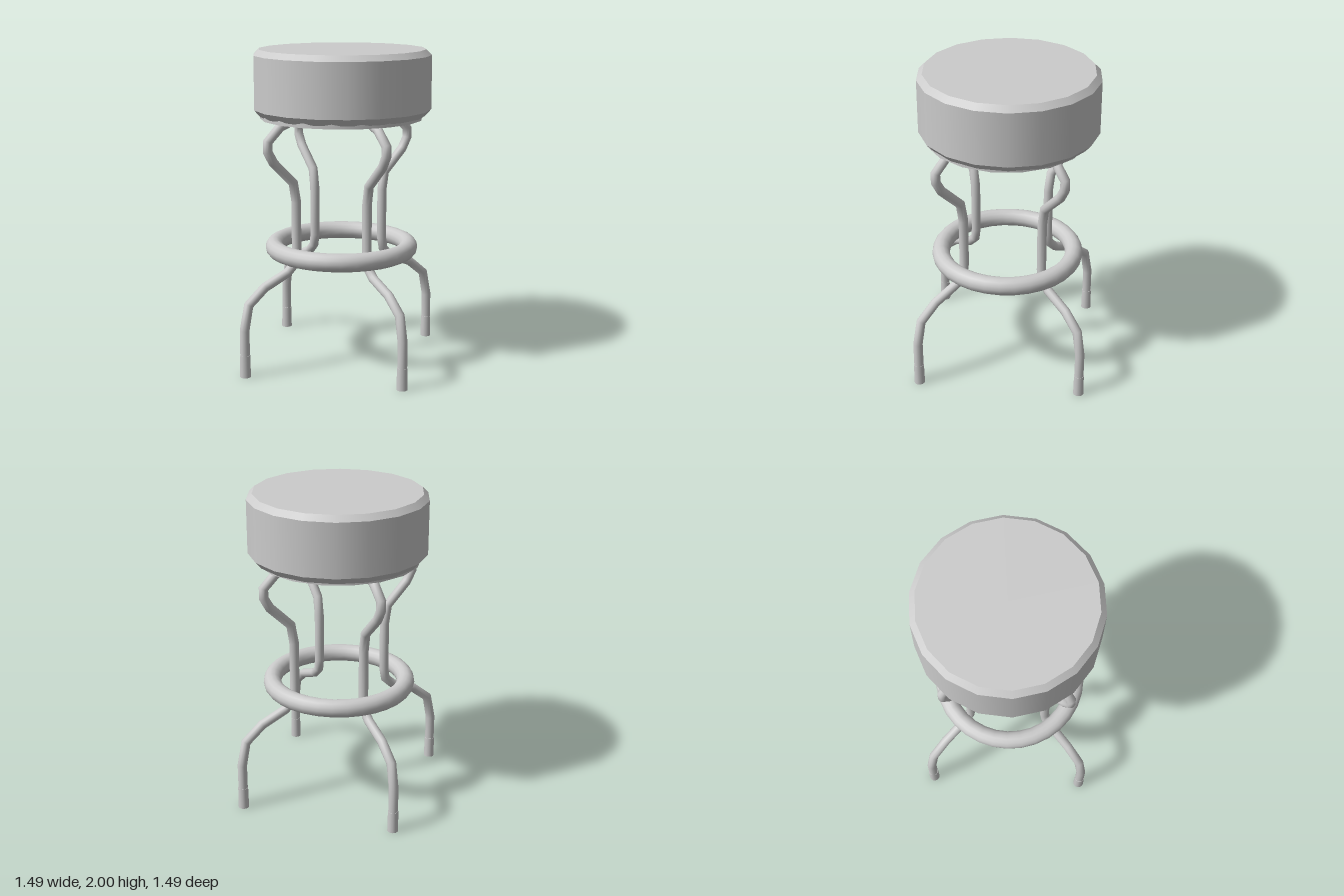
import * as THREE from 'three';

const material = new THREE.MeshStandardMaterial({ color: 0xcccccc });

function add(parent, name, geometry, x = 0, y = 0, z = 0) {
  const mesh = new THREE.Mesh(geometry, material);
  mesh.name = name;
  mesh.position.set(x, y, z);
  parent.add(mesh);
  return mesh;
}

// Straight runs between points, with tangents mitred at each bend
class Polyline extends THREE.Curve {
  constructor(points) {
    super();
    this.points = points;
  }
  getPoint(t) {
    const p = this.points;
    const i = Math.min(Math.floor(t * (p.length - 1) + 1e-6), p.length - 2);
    return p[i].clone().lerp(p[i + 1], t * (p.length - 1) - i);
  }
  getPointAt(t) {
    return this.getPoint(t);
  }
  getTangentAt(t) {
    const p = this.points, last = p.length - 1;
    const i = Math.round(t * last);
    const tangent = new THREE.Vector3();
    if (i > 0) tangent.add(p[i].clone().sub(p[i - 1]).normalize());
    if (i < last) tangent.add(p[i + 1].clone().sub(p[i]).normalize());
    return tangent.normalize();
  }
}

// Leg centre line: distance from the axis, height
const legPath = [
  [0.71, 0.1], [0.71, 0.3], [0.678, 0.458], [0.563, 0.553], [0.4, 0.622],
  [0.343, 0.675], [0.33, 0.75], [0.33, 1.07], [0.35, 1.19], [0.49, 1.33],
  [0.528, 1.4], [0.528, 1.46], [0.44, 1.545], [0.33, 1.587],
].map(([r, y]) => new THREE.Vector3(r, y, 0));

function createLeg(name) {
  const leg = new THREE.Group();
  leg.name = name;
  add(leg, 'legTube', new THREE.TubeGeometry(new Polyline(legPath), legPath.length - 1, 0.03, 12, false));
  add(leg, 'foot', new THREE.CylinderGeometry(0.032, 0.034, 0.14, 12), 0.71, 0.07, 0);
  return leg;
}

export function createModel() {
  const stool = new THREE.Group();
  stool.name = 'barStool';

  // Padded seat: three bands with crisp edges between them, closed top and bottom
  const seat = new THREE.Group();
  seat.name = 'seat';
  seat.position.set(0.01, 0, -0.007);
  stool.add(seat);
  const profile = [[0.52, 1.588], [0.557, 1.63], [0.557, 1.965], [0.522, 2]];
  ['lowerBevel', 'seatSide', 'upperBevel'].forEach((name, i) => {
    const [r0, y0] = profile[i], [r1, y1] = profile[i + 1];
    const band = new THREE.CylinderGeometry(r1, r0, y1 - y0, 18, 1, true).rotateY(Math.PI / 2);
    add(seat, name, band, 0, (y0 + y1) / 2, 0);
  });
  const disc = (r) => new THREE.CircleGeometry(r, 18);
  add(seat, 'seatTop', disc(0.522).rotateX(-Math.PI / 2), 0, 2, 0);
  add(seat, 'seatUnderside', disc(0.52).rotateX(Math.PI / 2), 0, 1.588, 0);

  // Mounting plate under the pad
  add(stool, 'seatPlate', new THREE.CylinderGeometry(0.51, 0.51, 0.03, 18), 0, 1.585, 0);

  // Foot ring
  add(stool, 'footRing', new THREE.TorusGeometry(0.43, 0.057, 14, 32).rotateX(Math.PI / 2), 0, 0.743, 0);

  // Four bent legs, each slightly off the centre lines
  const legs = [
    ['leftLeg', 0, -0.005, -0.012],
    ['backLeg', 1, 0.01, -0.005],
    ['rightLeg', 2, -0.005, -0.003],
    ['frontLeg', 3, -0.03, -0.002],
  ];
  for (const [name, turn, x, z] of legs) {
    const leg = createLeg(name);
    leg.rotation.y = turn * Math.PI / 2;
    leg.position.set(x, 0, z);
    stool.add(leg);
  }
  return stool;
}
